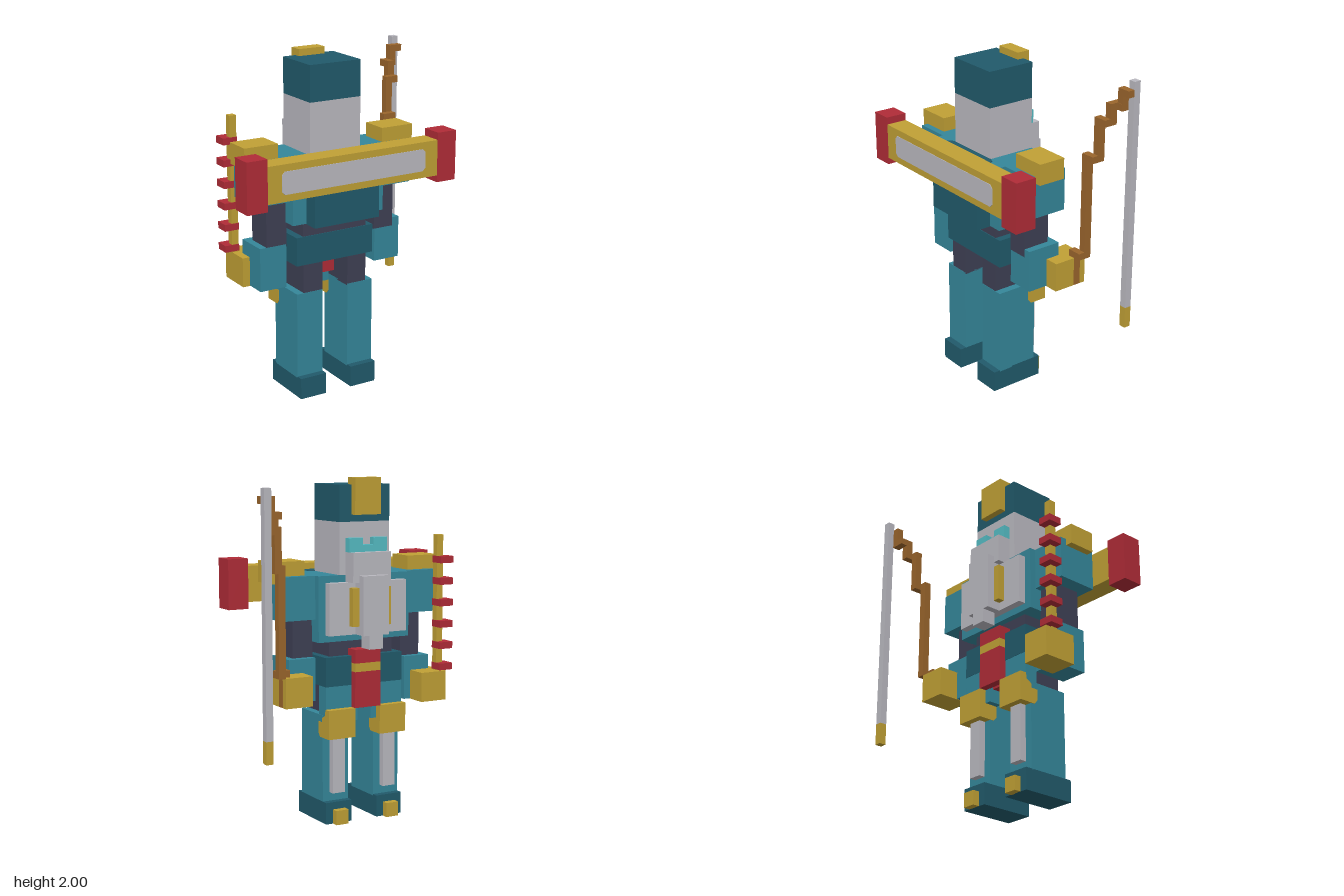
import * as THREE from 'three';

const mat = (name, color) => {
  const m = new THREE.MeshStandardMaterial({ color });
  m.name = name;
  return m;
};

export function createModel() {
  const teal = mat('teal', 0x35879a), dark = mat('darkTeal', 0x215a6b), gold = mat('gold', 0xc0a035),
    red = mat('red', 0xb02c37), grey = mat('lightGrey', 0xbab9c0), slate = mat('slate', 0x3e4054),
    brown = mat('brown', 0x9a652c), cyan = mat('cyan', 0x55bcc4);
  const model = new THREE.Group();
  model.name = 'armouredFigure';
  const MID = -0.045; // the body's own centre line

  const add = (name, geometry, material) => {
    const mesh = new THREE.Mesh(geometry, material);
    mesh.name = name;
    model.add(mesh);
    return mesh;
  };
  // box given by its extents
  const box = (name, m, x0, x1, y0, y1, z0, z1) => {
    const mesh = add(name, new THREE.BoxGeometry(x1 - x0, y1 - y0, z1 - z0), m);
    mesh.position.set((x0 + x1) / 2, (y0 + y1) / 2, (z0 + z1) / 2);
    return mesh;
  };
  // the same box on both sides of the body
  const pair = (name, m, x0, x1, ...rest) => {
    box(name + 'Left', m, x0, x1, ...rest);
    box(name + 'Right', m, 2 * MID - x1, 2 * MID - x0, ...rest);
  };
  const outline = (pts) => new THREE.Shape(pts.map(([a, b]) => new THREE.Vector2(a, b)));

  // head
  box('helmet', dark, -0.21, 0.12, 1.75, 1.96, -0.125, 0.17);
  box('face', grey, -0.21, 0.12, 1.45, 1.75, -0.125, 0.17);
  box('crest', gold, -0.13, 0.04, 1.79, 2.0, -0.165, -0.085);
  pair('eye', cyan, -0.01, 0.08, 1.58, 1.66, -0.168, -0.12);
  box('visorBridge', cyan, -0.08, -0.01, 1.58, 1.62, -0.168, -0.12);
  box('mask', grey, -0.17, 0.08, 1.41, 1.58, -0.212, -0.12);

  // torso
  box('chest', teal, -0.345, 0.255, 1.07, 1.45, -0.125, 0.208);
  const pack = new THREE.ExtrudeGeometry(outline([
    [-0.21, -0.15], [0.12, -0.15], [0.12, -0.167], [0.155, -0.18], [0.168, -0.208],
    [0.168, -0.3], [-0.257, -0.3], [-0.257, -0.208], [-0.243, -0.18], [-0.21, -0.167],
  ]), { depth: 0.388, bevelEnabled: false });
  pack.rotateX(-Math.PI / 2).translate(0, 1.066, 0);
  add('backPlate', pack, dark);
  box('waist', slate, -0.255, 0.165, 0.97, 1.07, -0.085, 0.165);
  box('pelvis', dark, -0.3, 0.21, 0.81, 0.98, -0.125, 0.17);

  // chest armour
  pair('chestSidePlate', grey, 0.04, 0.21, 1.11, 1.41, -0.17, -0.12);
  box('chestCentrePlate', grey, -0.13, 0.04, 1.11, 1.45, -0.257, -0.12);
  box('chestPlateTip', grey, -0.09, 0.0, 1.03, 1.11, -0.257, -0.17);
  pair('chestTrim', gold, 0.04, 0.08, 1.16, 1.38, -0.212, -0.165);

  // belt cloth
  box('clothTop', red, -0.13, 0.04, 0.94, 1.02, -0.167, -0.085);
  box('clothBand', gold, -0.13, 0.04, 0.89, 0.94, -0.167, -0.12);
  box('cloth', red, -0.13, 0.04, 0.68, 0.89, -0.167, -0.12);
  box('crotch', red, -0.13, 0.04, 0.68, 0.82, -0.1, 0.02);

  // legs
  pair('thigh', slate, 0.04, 0.165, 0.63, 0.82, -0.04, 0.168);
  pair('thighPlate', teal, 0, 0.208, 0.6, 0.81, -0.123, -0.04);
  pair('shin', teal, 0.04, 0.21, 0.12, 0.64, -0.085, 0.17);
  pair('foot', dark, 0.04, 0.21, 0, 0.128, -0.125, 0.21);
  pair('shinGuard', grey, 0.085, 0.165, 0.18, 0.53, -0.125, -0.08);
  pair('toe', gold, 0.085, 0.165, 0, 0.085, -0.167, -0.12);
  const kneeShape = outline([
    [-0.04, 0.535], [-0.06, 0.51], [-0.165, 0.51], [-0.165, 0.68], [-0.124, 0.68],
    [-0.12, 0.645], [-0.085, 0.625], [-0.085, 0.6], [-0.04, 0.6],
  ].reverse());
  for (const [side, x] of [['Left', 0.213], ['Right', 2 * MID - 0.037]]) {
    const knee = new THREE.ExtrudeGeometry(kneeShape, { depth: 0.176, bevelEnabled: false });
    knee.rotateY(-Math.PI / 2).translate(x, 0, 0);
    add('knee' + side, knee, gold);
  }

  // arms, the right one held slightly lower
  pair('shoulder', teal, 0.25, 0.467, 1.2, 1.45, -0.085, 0.167);
  pair('shoulderPad', gold, 0.3, 0.51, 1.41, 1.533, -0.042, 0.125);
  pair('upperArm', slate, 0.25, 0.38, 0.93, 1.2, -0.042, 0.125);
  box('forearmLeft', teal, 0.255, 0.425, 0.73, 0.98, -0.085, 0.125);
  box('handLeft', gold, 0.34, 0.51, 0.728, 0.9, -0.21, 0);
  box('forearmRight', teal, -0.512, -0.343, 0.683, 0.94, -0.085, 0.125);
  box('handRight', gold, -0.557, -0.387, 0.681, 0.855, -0.21, 0);

  // launcher beam carried across the back
  box('beam', gold, -0.6, 0.51, 1.28, 1.49, 0.255, 0.382);
  pair('beamCap', red, 0.51, 0.636, 1.24, 1.533, 0.255, 0.385);
  const x0 = -0.512, x1 = 0.425, y0 = 1.32, y1 = 1.45, c = 0.018;
  const plate = new THREE.ExtrudeGeometry(outline([
    [x0 + c, y0], [x1 - c, y0], [x1, y0 + c], [x1, y1 - c],
    [x1 - c, y1], [x0 + c, y1], [x0, y1 - c], [x0, y0 + c],
  ]), { depth: 0.006, bevelEnabled: false });
  plate.translate(0, 0, 0.379);
  add('beamPanel', plate, grey);

  // barbed blade in the right hand
  box('barbedPole', gold, -0.557, -0.515, 0.7, 1.66, -0.168, -0.127);
  for (let i = 0; i < 6; i++) {
    const y = 0.86 + i * 0.127;
    box('barb' + (i + 1), red, -0.6, -0.512, y, y + 0.04, -0.212, -0.125);
  }

  // stepped bow limb and its straight rod
  [
    [0.465, 0.513, 0.73, 0.94, -0.172, -0.13],
    [0.465, 0.553, 0.9, 0.94, -0.172, -0.13],
    [0.51, 0.553, 0.9, 1.53, -0.213, -0.17],
    [0.51, 0.595, 1.49, 1.53, -0.213, -0.172],
    [0.553, 0.595, 1.49, 1.745, -0.256, -0.213],
    [0.553, 0.637, 1.705, 1.745, -0.256, -0.215],
    [0.595, 0.637, 1.705, 1.83, -0.3, -0.256],
    [0.595, 0.678, 1.79, 1.83, -0.345, -0.3],
    [0.637, 0.678, 1.79, 1.915, -0.345, -0.302],
    [0.637, 0.72, 1.875, 1.915, -0.345, -0.302],
  ].forEach((b, i) => box('bowLimb' + (i + 1), brown, ...b));
  box('rod', grey, 0.678, 0.72, 0.6, 1.96, -0.385, -0.343);
  box('rodTip', gold, 0.678, 0.72, 0.472, 0.6, -0.385, -0.343);

  return model;
}
